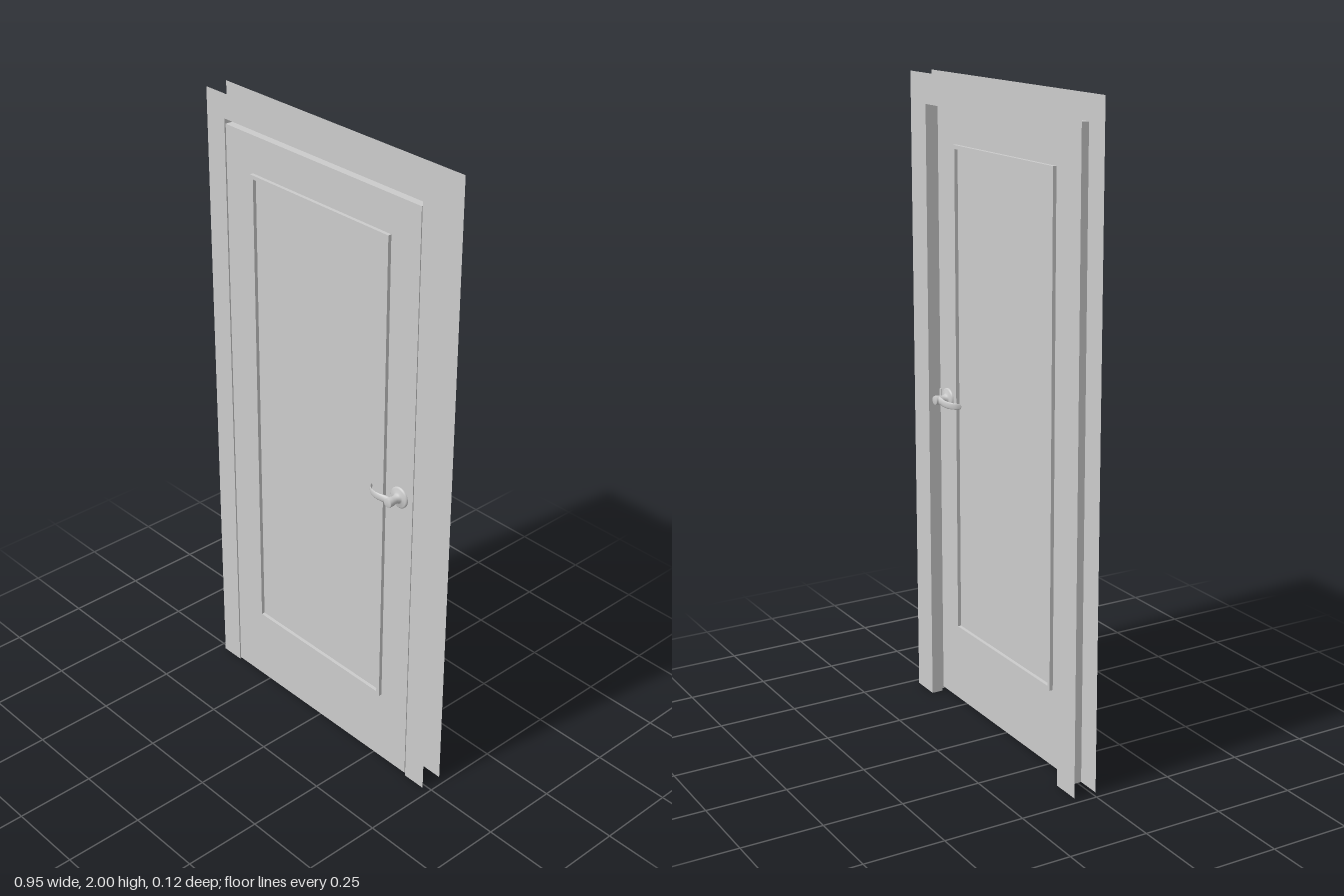
import * as THREE from 'three';
import { ParametricGeometry } from 'three/addons/geometries/ParametricGeometry.js';

const grey = new THREE.MeshStandardMaterial({ color: 0xcccccc });
const thin = new THREE.MeshStandardMaterial({ color: 0xcccccc, side: THREE.DoubleSide });

const FRONT = 0.013, STEP = -0.024, BACK = -0.06;
const WIDE = { w: 0.398, h: 1.925 };    // rebate that holds the leaf
const NARROW = { w: 0.381, h: 1.908 };  // door stop
const OUTER = { w: 0.475, h: 2 };

function add(parent, name, geometry, material = grey) {
  const mesh = new THREE.Mesh(geometry, material);
  mesh.name = name;
  parent.add(mesh);
  return mesh;
}

// Flat U-shaped sheet around an opening
function archSheet(parent, name, outer, inner, z) {
  const shape = new THREE.Shape([
    [-outer.w, 0], [-outer.w, outer.h], [outer.w, outer.h], [outer.w, 0],
    [inner.w, 0], [inner.w, inner.h], [-inner.w, inner.h], [-inner.w, 0],
  ].map(([x, y]) => new THREE.Vector2(x, y)));
  add(parent, name, new THREE.ShapeGeometry(shape), thin).position.z = z;
}

// Lining of an opening: two sides and a head
function lining(parent, name, { w, h }, z0, z1) {
  const depth = z0 - z1, mid = (z0 + z1) / 2;
  for (const s of [-1, 1]) {
    const side = add(parent, name + 'Side', new THREE.PlaneGeometry(depth, h), thin);
    side.rotation.y = -s * Math.PI / 2;
    side.position.set(s * w, h / 2, mid);
  }
  const head = add(parent, name + 'Head', new THREE.PlaneGeometry(2 * w, depth), thin);
  head.rotation.x = Math.PI / 2;
  head.position.set(0, h, mid);
}

function rectangle(Type, x0, y0, x1, y1) {
  return new Type([[x0, y0], [x1, y0], [x1, y1], [x0, y1]].map(([x, y]) => new THREE.Vector2(x, y)));
}

// Lever swept along a curve, thinning towards the tip
function leverGeometry() {
  const spine = new THREE.CatmullRomCurve3([
    [0.002, 0.047], [-0.02, 0.049], [-0.05, 0.054], [-0.078, 0.049], [-0.094, 0.038], [-0.102, 0.023],
  ].map(([x, z]) => new THREE.Vector3(x, 0, z)));
  return new ParametricGeometry((u, v, target) => {
    const p = spine.getPoint(u), t = spine.getTangent(u);
    const a = v * Math.PI * 2;
    const close = u > 0.999 ? 0 : 1;
    const thick = close * (0.0015 + 0.0095 * Math.pow(1 - u, 2.5));
    const tall = close * (0.009 + 0.004 * (1 - u));
    const c = Math.cos(a) * thick;
    target.set(p.x - t.z * c, Math.sin(a) * tall - 0.002 * u, p.z + t.x * c);
  }, 24, 16);
}

function createHandle() {
  const handle = new THREE.Group();
  // Rosette and neck turned as one profile
  const profile = [
    [0.033, 0], [0.033, 0.004], [0.029, 0.007], [0.018, 0.008], [0.014, 0.012], [0.012, 0.022],
    [0.014, 0.032], [0.0145, 0.047], [0.013, 0.05], [0, 0.05],
  ].map(([x, y]) => new THREE.Vector2(x, y));
  const neck = add(handle, 'rosetteAndNeck', new THREE.LatheGeometry(profile, 32));
  neck.rotation.x = Math.PI / 2;
  neck.position.z = 0.012;
  add(handle, 'lever', leverGeometry(), thin);
  return handle;
}

export function createModel() {
  const model = new THREE.Group();
  model.name = 'door';

  // Frame: thin casings on both faces joined by a stepped lining
  const frame = new THREE.Group();
  frame.name = 'frame';
  model.add(frame);
  archSheet(frame, 'frontCasing', OUTER, WIDE, FRONT);
  archSheet(frame, 'doorStop', WIDE, NARROW, STEP);
  archSheet(frame, 'backCasing', OUTER, NARROW, BACK);
  lining(frame, 'rebate', WIDE, FRONT, STEP);
  lining(frame, 'stop', NARROW, STEP, BACK);

  // Leaf
  const leaf = new THREE.Group();
  leaf.name = 'leaf';
  model.add(leaf);
  add(leaf, 'slab', new THREE.BoxGeometry(0.788, 1.902, 0.024)).position.y = 0.959;
  add(leaf, 'latch', new THREE.BoxGeometry(0.014, 0.04, 0.018)).position.set(0.395, 1, -0.005);

  // Panel moulding and handle on each face
  const ring = rectangle(THREE.Shape, -0.278, 0.252, 0.285, 1.795);
  ring.holes.push(rectangle(THREE.Path, -0.266, 0.264, 0.273, 1.783));
  const moulding = new THREE.ExtrudeGeometry(ring, { depth: 0.011, bevelEnabled: false });
  for (const [side, s] of [['front', 1], ['back', -1]]) {
    const trim = add(leaf, side + 'Moulding', moulding);
    trim.position.z = s * 0.012;
    trim.scale.z = s;
    const handle = createHandle();
    handle.name = side + 'Handle';
    handle.position.set(0.342, 1, 0);
    handle.scale.z = s;
    leaf.add(handle);
  }
  return model;
}
